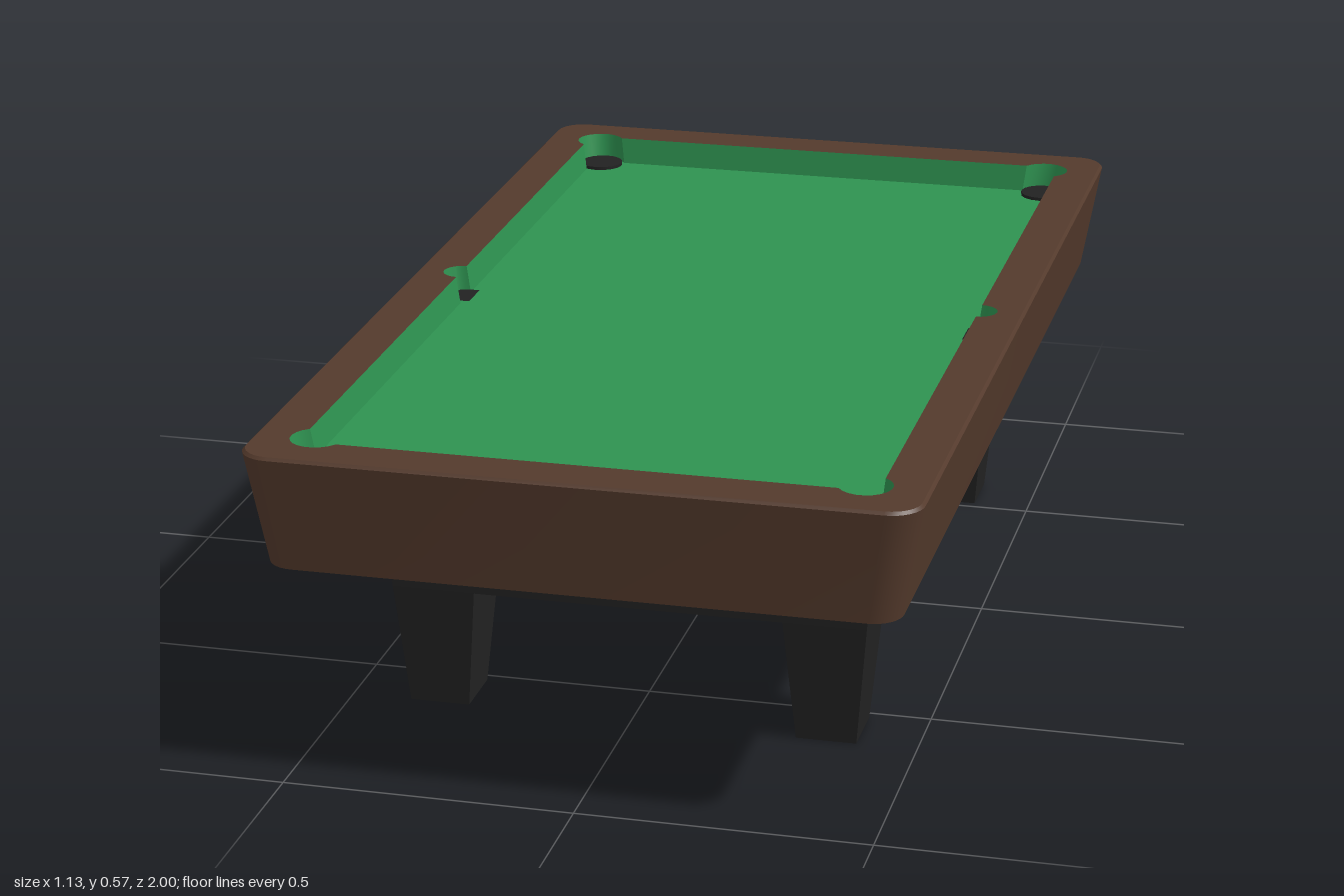
import * as THREE from 'three';
import { toCreasedNormals } from 'three/addons/utils/BufferGeometryUtils.js';

const TOP = 0.575, BED = 0.525, BASE = 0.375;

// Mirrors a quarter outline (from the +x axis towards +z) into a closed loop.
function mirrorQuarter(quarter) {
  const back = [...quarter].reverse();
  return [
    ...quarter,
    ...back.map(([x, z]) => [-x, z]),
    ...quarter.map(([x, z]) => [-x, -z]),
    ...back.map(([x, z]) => [x, -z]),
  ];
}

function arc(cx, cz, r, from, to, steps) {
  return Array.from({ length: steps + 1 }, (_, i) => {
    const a = from + (to - from) * i / steps;
    return [cx + r * Math.cos(a), cz + r * Math.sin(a)];
  });
}

const roundedRect = (hx, hz, r) => mirrorQuarter(arc(hx - r, hz - r, r, 0, Math.PI / 2, 8));

// Skins a wall through outlines given as { y, points }.
function loft(rings, crease) {
  const n = rings[0].points.length, pos = [], index = [];
  for (const { y, points } of rings) for (const [x, z] of points) pos.push(x, y, z);
  for (let r = 0; r < rings.length - 1; r++) {
    for (let i = 0; i < n; i++) {
      const j = (i + 1) % n, a = r * n + i, b = r * n + j;
      index.push(a, a + n, b, b, a + n, b + n);
    }
  }
  const g = new THREE.BufferGeometry();
  g.setAttribute('position', new THREE.Float32BufferAttribute(pos, 3));
  g.setIndex(index);
  return toCreasedNormals(g, crease);
}

// Flat horizontal panel, facing up (1) or down (-1).
function panel(points, y, facing, hole) {
  const toVec = ([x, z]) => new THREE.Vector2(x, z);
  const shape = new THREE.Shape(points.map(toVec));
  if (hole) shape.holes.push(new THREE.Path(hole.map(toVec)));
  return new THREE.ShapeGeometry(shape).rotateX(-facing * Math.PI / 2).translate(0, y, 0);
}

// Block with separate bottom and top rectangles: [xMin, xMax, halfDepth].
function taperedBlock(y0, y1, bottom, top) {
  const g = new THREE.BoxGeometry(1, 1, 1), p = g.attributes.position;
  for (let i = 0; i < p.count; i++) {
    const up = p.getY(i) > 0, [x0, x1, d] = up ? top : bottom;
    p.setXYZ(i, p.getX(i) < 0 ? x0 : x1, up ? y1 : y0, Math.sign(p.getZ(i)) * d);
  }
  g.computeVertexNormals();
  return g;
}

export function createModel() {
  const model = new THREE.Group();
  model.name = 'poolTable';
  const material = (name, color) => {
    const m = new THREE.MeshStandardMaterial({ color });
    m.name = name;
    return m;
  };
  const wood = material('brownWood', 0x543a2c);
  const cloth = material('greenCloth', 0x2e9351);
  const black = material('black', 0x222222);
  const add = (name, geometry, mat, parent = model) => {
    const mesh = new THREE.Mesh(geometry, mat);
    mesh.name = name;
    parent.add(mesh);
    return mesh;
  };

  // Tapered cabinet with a slightly eased top edge
  const foot = roundedRect(0.53, 0.977, 0.05);
  const rim = roundedRect(0.564, 0.999, 0.055);
  const edge = roundedRect(0.559, 0.994, 0.05);
  add('cabinet', loft([
    { y: BASE, points: foot },
    { y: TOP - 0.005, points: rim },
    { y: TOP, points: edge },
  ], 0.5), wood);
  add('underside', panel(foot, BASE, -1), black);

  // Playing area outline with side and corner pockets cut into the rail
  const ix = 0.482, iz = 0.912, cx = 0.457, cz = 0.89, r = 0.045;
  const start = -Math.acos((ix - cx) / r);
  const end = Math.PI - Math.asin((iz - cz) / r);
  const opening = mirrorQuarter([
    ...arc(ix, 0, 0.033, 0.05, Math.PI / 2, 5),
    ...arc(cx, cz, r, start, end, 12),
  ]);
  const bedEdge = opening.map(([x, z]) => [x * 0.985, z * 0.993]);
  add('railTop', panel(edge, TOP, 1, opening), wood);
  add('cushions', loft([
    { y: TOP, points: opening },
    { y: BED, points: bedEdge },
  ], 0.5), cloth);
  add('bed', panel(bedEdge, BED, 1), cloth);

  // Dark pocket floors
  for (const sx of [-1, 1]) {
    for (const sz of [-1, 1]) {
      add('cornerPocket', new THREE.CylinderGeometry(0.043, 0.043, 0.006, 16)
        .translate(sx * 0.455, BED + 0.003, sz * 0.887), black);
    }
    const side = [[0.458, -0.033], ...arc(0.475, 0, 0.033, -Math.PI / 2, Math.PI / 2, 10), [0.458, 0.033]]
      .map(([x, z]) => [sx * x, z]);
    add('sidePocket', panel(side, BED + 0.005, 1), black);
  }

  // Two leg frames: a pair of tapered legs joined by a deep beam
  for (const sz of [-1, 1]) {
    const frame = new THREE.Group();
    frame.name = sz > 0 ? 'frontLegFrame' : 'backLegFrame';
    frame.position.z = sz * 0.573;
    add('beam', taperedBlock(0.22, BASE, [-0.415, 0.415, 0.078], [-0.43, 0.43, 0.085]), black, frame);
    add('leftLeg', taperedBlock(0, 0.22, [0.29, 0.395, 0.055], [0.27, 0.415, 0.078]), black, frame);
    add('rightLeg', taperedBlock(0, 0.22, [-0.395, -0.29, 0.055], [-0.415, -0.27, 0.078]), black, frame);
    model.add(frame);
  }
  return model;
}
